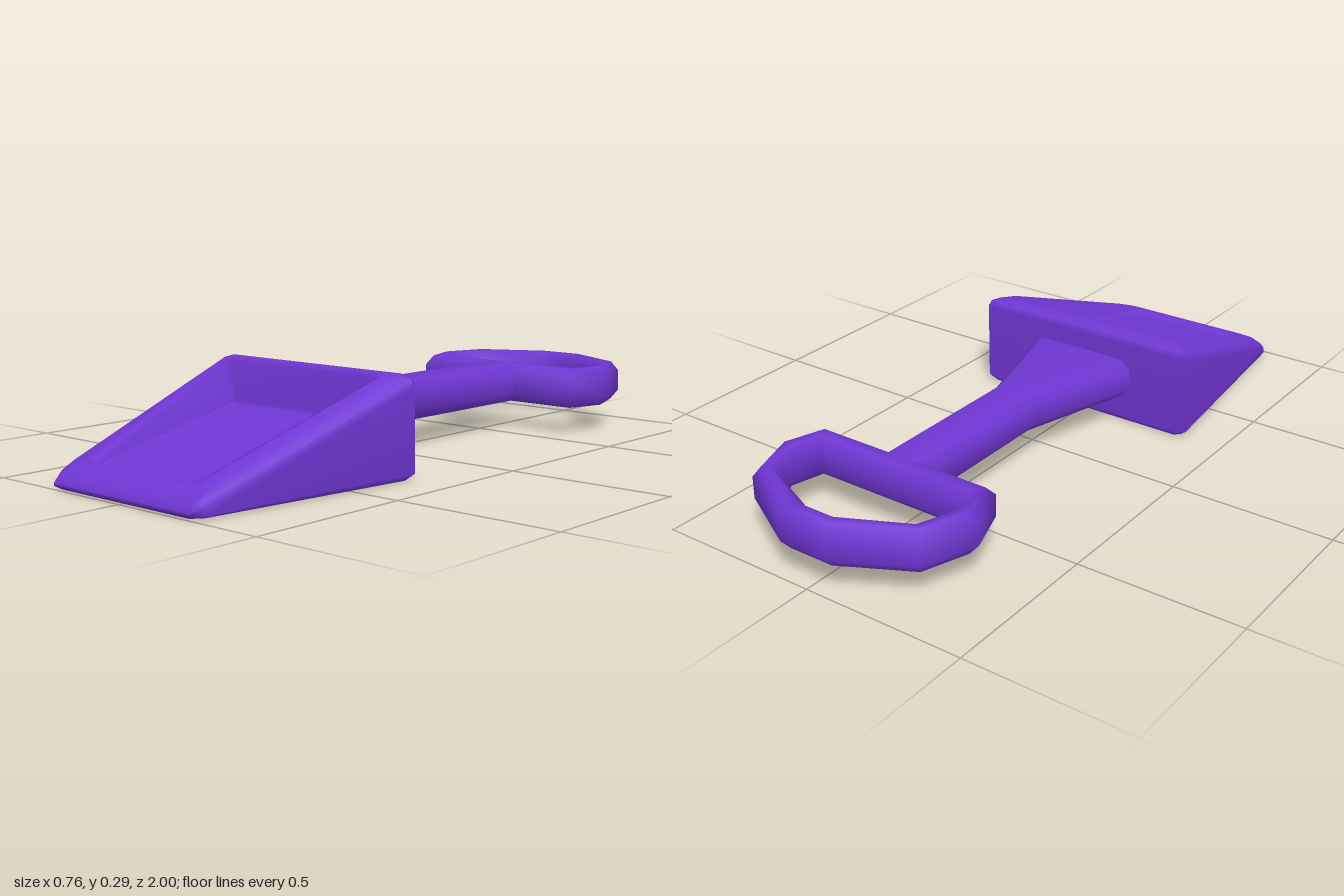
import * as THREE from 'three';

const purple = new THREE.MeshStandardMaterial({ color: 0x6f36d2 });
purple.name = 'purple plastic';

// Skin a list of equal-length rings; optionally join last to first or cap both ends.
function loft(name, rings, { closed = false, caps = false } = {}) {
  const n = rings[0].length, pos = rings.flat(2), index = [];
  const last = closed ? rings.length : rings.length - 1;
  for (let i = 0; i < last; i++) {
    const p = i * n, q = ((i + 1) % rings.length) * n;
    for (let j = 0; j < n; j++) {
      const k = (j + 1) % n;
      index.push(p + j, p + k, q + k, p + j, q + k, q + j);
    }
  }
  if (caps) {
    const e = (rings.length - 1) * n;
    for (let j = 1; j < n - 1; j++) index.push(0, j + 1, j, e, e + j, e + j + 1);
  }
  const g = new THREE.BufferGeometry();
  g.setAttribute('position', new THREE.Float32BufferAttribute(pos, 3));
  g.setIndex(index);
  g.computeVertexNormals();
  const mesh = new THREE.Mesh(g, purple);
  mesh.name = name;
  return mesh;
}

// Trapezoid ring with clipped corners, tilted from (bz, by) at the back to (fz, fy) at the front.
function scoopRing([bx, bz, by, fx, fz, fy, c]) {
  const side = [];
  const add = (x, z) => side.push([x, by + (fy - by) * (z - bz) / (fz - bz), z]);
  const slope = (bx - fx) / (fz - bz);
  add(fx - c, fz);
  add(fx + c * 1.6 * slope, fz - c * 1.6);
  add(bx - c * slope, bz + c);
  add(bx - c, bz);
  return [...side, ...side.slice().reverse().map(([x, y, z]) => [-x, y, z])];
}

// Clipped rectangle, counterclockwise.
function octagon(w, h, c) {
  return [[w, -h + c], [w, h - c], [w - c, h], [-w + c, h],
    [-w, h - c], [-w, -h + c], [-w + c, -h], [w - c, -h]];
}

const MID = 0.148, HALF = 0.063;

export function createModel() {
  const model = new THREE.Group();
  model.name = 'toyShovel';

  // Scoop: underside, outer walls, rounded rim, inner walls, floor
  model.add(loft('scoop', [
    [0.350, 0.285, 0, 0.265, 0.975, 0, 0.02],
    [0.358, 0.28, 0, 0.272, 0.985, 0, 0.02],
    [0.380, 0.265, 0.02, 0.290, 1.0, 0.01, 0.02],
    [0.380, 0.265, 0.265, 0.290, 1.0, 0.018, 0.02],
    [0.373, 0.272, 0.283, 0.282, 0.992, 0.034, 0.02],
    [0.350, 0.29, 0.292, 0.266, 0.962, 0.06, 0.02],
    [0.312, 0.328, 0.294, 0.222, 0.945, 0.07, 0.015],
    [0.294, 0.343, 0.282, 0.208, 0.93, 0.07, 0.012],
    [0.258, 0.358, 0.168, 0.193, 0.915, 0.066, 0.01],
    [0.250, 0.366, 0.158, 0.187, 0.905, 0.064, 0.01],
    [0.240, 0.376, 0.156, 0.180, 0.895, 0.064, 0.01],
  ].map(scoopRing), { caps: true }));

  // Shaft, flaring where it meets the scoop
  model.add(loft('shaft', [[-0.62, 0.08], [-0.09, 0.08], [0.26, 0.178], [0.28, 0.184]]
    .map(([z, w]) => octagon(w, HALF, 0.032).map(([x, y]) => [x, MID + y, z]))));

  // D-shaped grip: outer and inner corner of each bend, from the back round to the crossbar
  const half = [
    [0.08, -1.0, 0.05, -0.92],
    [0.292, -0.882, 0.232, -0.838],
    [0.346, -0.72, 0.27, -0.745],
    [0.295, -0.58, 0.257, -0.665],
  ];
  const bends = [...half, ...half.slice().reverse().map(([a, b, c, d]) => [-a, b, -c, d])];
  model.add(loft('grip', bends.map(([ox, oz, ix, iz]) =>
    octagon(0.5, HALF, 0.03).map(([, y], j) => {
      const t = [1, 1, 0.67, 0.33, 0, 0, 0.33, 0.67][j];
      return [ix + (ox - ix) * t, MID + y, iz + (oz - iz) * t];
    })), { closed: true }));

  return model;
}
